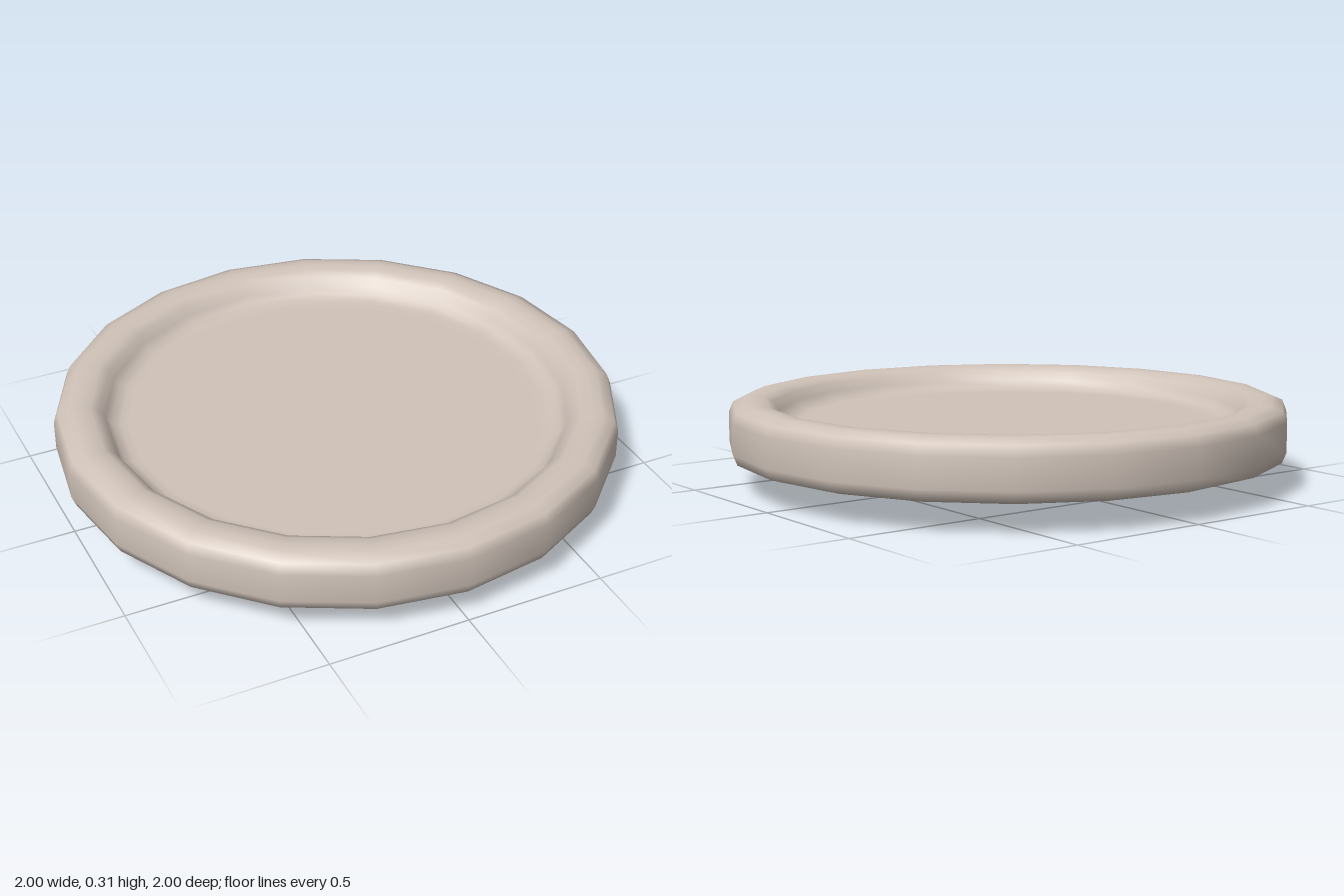
import * as THREE from 'three';

const SIDES = 20;

export function createModel() {
  const model = new THREE.Group();
  model.name = 'dish';
  const clay = new THREE.MeshStandardMaterial({ color: 0xd0c3b9 });
  clay.name = 'pale clay';

  // Each profile runs [radius, height] from underneath, outwards and over the top.
  const turn = (name, profile) => {
    const points = profile.map(([r, y]) => new THREE.Vector2(r, y));
    const mesh = new THREE.Mesh(new THREE.LatheGeometry(points, SIDES), clay);
    mesh.name = name;
    model.add(mesh);
  };

  // Flared foot with a flat base, meeting the underside
  turn('foot', [
    [0, 0], [0.36, 0], [0.39, 0.004], [0.45, 0.032], [0.49, 0.066],
    [0.53, 0.085], [0.57, 0.095], [0.62, 0.095],
  ]);

  // Flat underside, rounded rim and the inner slope down to the floor
  turn('rim', [
    [0.62, 0.095], [0.91, 0.095], [0.95, 0.097], [0.985, 0.108], [1, 0.145],
    [1, 0.25], [0.985, 0.287], [0.945, 0.304], [0.91, 0.306], [0.87, 0.302],
    [0.84, 0.286], [0.82, 0.255], [0.8, 0.232], [0.77, 0.221], [0.74, 0.22],
    [0.7, 0.22],
  ]);

  // Flat floor inside the rim
  turn('floor', [[0.7, 0.22], [0, 0.22]]);

  return model;
}
